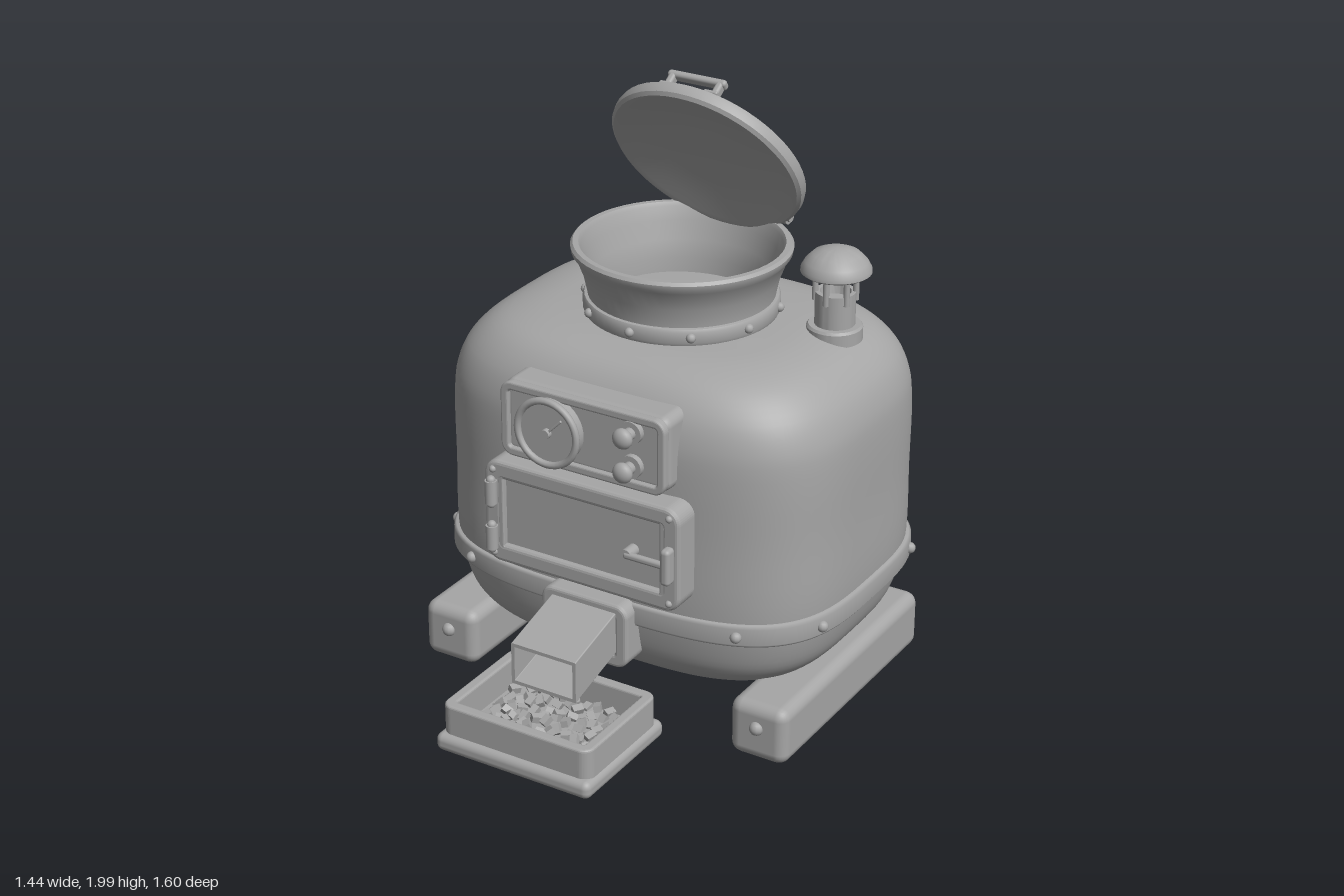
import * as THREE from 'three';
import { RoundedBoxGeometry } from 'three/addons/geometries/RoundedBoxGeometry.js';
import { mergeVertices, toCreasedNormals } from 'three/addons/utils/BufferGeometryUtils.js';

const grey = new THREE.MeshStandardMaterial({ color: 0xa6a6a6 });
grey.name = 'plain grey';

const HX = 0.705, HZ = 0.545, CZ = -0.235;

// Point on the body's rounded-rectangle outline
function outline(t, s) {
  const c = Math.cos(t), n = Math.sin(t), p = 2 / 3.4;
  return [Math.sign(c) * Math.abs(c) ** p * HX * s, CZ + Math.sign(n) * Math.abs(n) ** p * HZ * s];
}

// Skin through outline rings given as [scale, y], bottom to top
function loft(profile, seg = 96) {
  const pos = [], idx = [];
  profile.forEach(([s, y], j) => {
    for (let i = 0; i < seg; i++) {
      const [x, z] = outline((i / seg) * Math.PI * 2, s);
      pos.push(x, y, z);
      if (j === profile.length - 1) continue;
      const a = j * seg + i, b = j * seg + (i + 1) % seg;
      idx.push(a, a + seg, b, b, a + seg, b + seg);
    }
  });
  const g = new THREE.BufferGeometry();
  g.setAttribute('position', new THREE.Float32BufferAttribute(pos, 3));
  g.setIndex(idx);
  g.computeVertexNormals();
  return g;
}

function add(parent, name, geo, x = 0, y = 0, z = 0) {
  const m = new THREE.Mesh(geo, grey);
  m.name = name;
  m.position.set(x, y, z);
  parent.add(m);
  return m;
}

const box = (p, name, w, h, d, r, x, y, z) => add(p, name, new RoundedBoxGeometry(w, h, d, 3, r), x, y, z);

// Cylinder along 'x', 'y' or 'z'
function cyl(p, name, r, h, axis, x, y, z, seg = 24) {
  const g = new THREE.CylinderGeometry(r, r, h, seg);
  if (axis === 'x') g.rotateZ(Math.PI / 2);
  if (axis === 'z') g.rotateX(Math.PI / 2);
  return add(p, name, g, x, y, z);
}

const ball = (p, name, r, x, y, z) => add(p, name, new THREE.SphereGeometry(r, 12, 8), x, y, z);

function lathe(points, crease = 0.6) {
  const g = new THREE.LatheGeometry(points.map(([r, y]) => new THREE.Vector2(r, y)), 56);
  g.deleteAttribute('uv');
  g.deleteAttribute('normal');
  return toCreasedNormals(mergeVertices(g), crease);
}

function roundRect(T, w, h, r) {
  const s = new T(), x = w / 2, y = h / 2;
  s.moveTo(-x + r, -y);
  s.lineTo(x - r, -y).absarc(x - r, -y + r, r, -Math.PI / 2, 0);
  s.lineTo(x, y - r).absarc(x - r, y - r, r, 0, Math.PI / 2);
  s.lineTo(-x + r, y).absarc(-x + r, y - r, r, Math.PI / 2, Math.PI);
  s.lineTo(-x, -y + r).absarc(-x + r, -y + r, r, Math.PI, Math.PI * 1.5);
  return s;
}

// Rounded frame with a rectangular opening, extruded toward +z
function frameGeo(w, h, border, depth, r, bevel) {
  const s = roundRect(THREE.Shape, w - 2 * bevel, h - 2 * bevel, r);
  s.holes.push(roundRect(THREE.Path, w - 2 * border, h - 2 * border, r * 0.5));
  return new THREE.ExtrudeGeometry(s, {
    depth: depth - 2 * bevel, bevelEnabled: bevel > 0, bevelSize: bevel, bevelThickness: bevel, bevelSegments: 3, curveSegments: 6,
  }).translate(0, 0, bevel);
}

export function createModel() {
  const root = new THREE.Group();
  const group = (name, x = 0, y = 0, z = 0) => {
    const g = new THREE.Group();
    g.name = name;
    g.position.set(x, y, z);
    root.add(g);
    return g;
  };

  // Boiler body
  const curve = new THREE.CatmullRomCurve3([
    [0.001, 0.135], [0.4, 0.137], [0.68, 0.145], [0.84, 0.185], [0.93, 0.25], [0.975, 0.34], [1, 0.46], [1, 0.7], [1, 0.94],
    [0.985, 1.03], [0.935, 1.115], [0.825, 1.19], [0.665, 1.228], [0.45, 1.24], [0.2, 1.245], [0.001, 1.247],
  ].map(([s, y]) => new THREE.Vector3(s, y, 0)), false, 'centripetal');
  add(root, 'body', loft(curve.getPoints(60).map((v) => [Math.max(v.x, 0.001), v.y])));

  // Belt and its rivets
  add(root, 'belt', loft([[0.97, 0.372], [1.012, 0.375], [1.023, 0.385], [1.023, 0.44], [1.012, 0.45], [0.97, 0.453]]));
  for (const sx of [1, -1]) for (const t of [0.36, 1.01, -0.36, -1.24]) {
    const [x, z] = outline(t, 1.025);
    ball(root, 'beltRivet', 0.019, sx * x, 0.412, z);
  }

  // Skid feet with a screw on the front
  for (const sx of [1, -1]) {
    box(root, 'foot', 0.205, 0.2, 0.93, 0.04, sx * 0.588, 0.1, -0.175);
    ball(root, 'footScrew', 0.024, sx * 0.588, 0.12, 0.288);
  }

  // Filling hopper
  const hopper = group('hopper', 0, 0, -0.225);
  add(hopper, 'funnel', lathe([
    [0.285, 1.23], [0.3, 1.25], [0.302, 1.3], [0.315, 1.36], [0.34, 1.425], [0.353, 1.44], [0.356, 1.458], [0.348, 1.468],
    [0.33, 1.468], [0.322, 1.455], [0.312, 1.41], [0.29, 1.35], [0.278, 1.29], [0.276, 1.23],
  ]));
  add(hopper, 'collar', lathe([[0.295, 1.235], [0.313, 1.24], [0.317, 1.25], [0.317, 1.285], [0.312, 1.294], [0.295, 1.297]]));
  for (let i = 0; i < 10; i++) {
    const t = Math.PI / 2 + (i / 10) * Math.PI * 2;
    ball(hopper, 'collarRivet', 0.016, Math.cos(t) * 0.318, 1.268, Math.sin(t) * 0.318);
  }

  // Open lid: hollow underside, handle near the free edge
  const lid = group('lid', 0, 1.7, -0.385);
  lid.rotation.x = -0.995;
  add(lid, 'lidDisc', lathe([
    [0, 0.005], [0.15, 0], [0.26, -0.012], [0.3, -0.027], [0.322, -0.03], [0.333, -0.02], [0.336, 0], [0.332, 0.018],
    [0.315, 0.028], [0.25, 0.033], [0, 0.037],
  ]));
  box(lid, 'handleBar', 0.21, 0.025, 0.035, 0.011, 0, 0.09, 0.268);
  for (const sx of [1, -1]) {
    box(lid, 'handlePost', 0.025, 0.065, 0.035, 0.01, sx * 0.085, 0.06, 0.268);
    box(lid, 'handlePad', 0.05, 0.014, 0.06, 0.006, sx * 0.08, 0.037, 0.268);
  }
  for (let i = 0; i < 3; i++) cyl(root, 'hingeBarrel', 0.026, 0.132, 'x', (i - 1) * 0.138, 1.476, -0.555);
  cyl(root, 'hingePin', 0.017, 0.425, 'x', 0, 1.476, -0.555);

  // Vent chimney
  const vent = group('vent', 0.49, 0, -0.345);
  add(vent, 'ventFlange', lathe([[0, 1.2], [0.09, 1.2], [0.09, 1.242], [0.084, 1.25], [0, 1.25]]));
  add(vent, 'ventPipe', lathe([[0.065, 1.24], [0.065, 1.36], [0.05, 1.36], [0.045, 1.33], [0, 1.33]]));
  for (let i = 0; i < 6; i++) {
    const t = ((i + 0.5) / 6) * Math.PI * 2;
    cyl(vent, 'ventPost', 0.01, 0.11, 'y', Math.cos(t) * 0.064, 1.385, Math.sin(t) * 0.064, 10);
  }
  add(vent, 'ventCap', lathe([
    [0, 1.425], [0.105, 1.422], [0.113, 1.428], [0.112, 1.44], [0.1, 1.462], [0.075, 1.487], [0.04, 1.502], [0, 1.507],
  ]));

  // Control panel with dial and knobs
  const panel = group('controlPanel', 0, 1.018, 0);
  box(panel, 'panelBox', 0.6, 0.255, 0.15, 0.035, 0, 0, 0.285);
  add(panel, 'panelRim', frameGeo(0.6, 0.255, 0.022, 0.03, 0.035, 0.007), 0, 0, 0.345);
  cyl(panel, 'dialFace', 0.11, 0.04, 'z', -0.11, 0, 0.377, 40);
  add(panel, 'dialRing', new THREE.TorusGeometry(0.108, 0.012, 10, 40), -0.11, 0, 0.4);
  cyl(panel, 'dialHub', 0.016, 0.02, 'z', -0.11, 0, 0.405);
  box(panel, 'dialNeedle', 0.08, 0.008, 0.008, 0.003, -0.083, 0.027, 0.402).rotation.z = Math.PI / 4;
  for (const sy of [0.066, -0.05]) {
    cyl(panel, 'knobBase', 0.038, 0.02, 'z', 0.18, sy, 0.37);
    cyl(panel, 'knobStem', 0.02, 0.05, 'z', 0.18, sy, 0.395);
    add(panel, 'knob', new THREE.SphereGeometry(0.034, 20, 12).scale(1, 1, 0.7), 0.18, sy, 0.423);
  }

  // Furnace door with hinges and latch
  const door = group('door', 0, 0.685, 0);
  add(door, 'doorFrame', frameGeo(0.72, 0.36, 0.05, 0.12, 0.04, 0.014), 0, 0, 0.268);
  box(door, 'doorLeaf', 0.66, 0.3, 0.09, 0.012, 0, 0, 0.322);
  add(door, 'doorRim', frameGeo(0.62, 0.29, 0.016, 0.025, 0.025, 0.005), 0, 0, 0.362);
  for (const sx of [1, -1]) for (const sy of [1, -1]) ball(door, 'doorRivet', 0.012, sx * 0.325, sy * 0.148, 0.388);
  for (const sy of [0.075, -0.085]) {
    cyl(door, 'doorHinge', 0.02, 0.08, 'y', -0.322, sy, 0.405);
    ball(door, 'hingeTip', 0.015, -0.322, sy + 0.042, 0.405);
    ball(door, 'hingeTip', 0.015, -0.322, sy - 0.042, 0.405);
  }
  cyl(door, 'latchPivot', 0.02, 0.05, 'z', 0.19, 0, 0.4);
  box(door, 'latchArm', 0.15, 0.024, 0.022, 0.01, 0.255, 0, 0.418);
  box(door, 'latchGrip', 0.034, 0.125, 0.045, 0.014, 0.335, 0, 0.415);

  // Ash chute: wall frame and sloping open duct
  add(root, 'chuteFrame', frameGeo(0.32, 0.225, 0.035, 0.11, 0.03, 0.012), 0, 0.347, 0.262);
  const duct = frameGeo(0.24, 0.145, 0.012, 0.3, 0.004, 0);
  const dp = duct.attributes.position;
  for (let i = 0; i < dp.count; i++) dp.setY(i, dp.getY(i) - dp.getZ(i) * 0.27);
  duct.computeVertexNormals();
  add(root, 'chuteDuct', duct, 0, 0.379, 0.305);

  // Catch tray full of pellets
  const tray = group('tray', 0, 0, 0.573);
  box(tray, 'trayBase', 0.575, 0.062, 0.455, 0.025, 0, 0.056, 0);
  const wall = frameGeo(0.55, 0.41, 0.03, 0.12, 0.03, 0.008).rotateX(-Math.PI / 2);
  add(tray, 'trayWall', wall, 0, 0.068, 0);
  let seed = 7;
  const rnd = () => (seed = (seed * 16807) % 2147483647) / 2147483647;
  const chip = new THREE.BoxGeometry(0.034, 0.022, 0.024);
  for (let i = 0; i < 10; i++) for (let j = 0; j < 7; j++) {
    const c = add(tray, 'pellet', chip, (i - 4.5) * 0.04 + (rnd() - 0.5) * 0.02, 0.105 + rnd() * 0.03, (j - 3) * 0.04 + (rnd() - 0.5) * 0.02);
    c.rotation.set(rnd() * 0.8, rnd() * 6, rnd() * 0.8);
  }
  box(tray, 'pelletBed', 0.42, 0.03, 0.3, 0.01, 0, 0.092, 0);

  // Rear service plate with louvres
  const rear = group('rearPlate', 0, 0.717, -0.782);
  box(rear, 'plate', 0.44, 0.335, 0.016, 0.005, 0, 0, 0);
  for (let i = 0; i < 5; i++) box(rear, 'louvre', 0.3, 0.014, 0.014, 0.005, 0, 0.1 - i * 0.038, -0.009);
  box(rear, 'tag', 0.17, 0.045, 0.012, 0.004, 0, -0.112, -0.008);
  for (const sx of [1, -1]) for (const sy of [1, -1]) ball(rear, 'plateScrew', 0.011, sx * 0.195, sy * 0.143, -0.008);

  return root;
}
